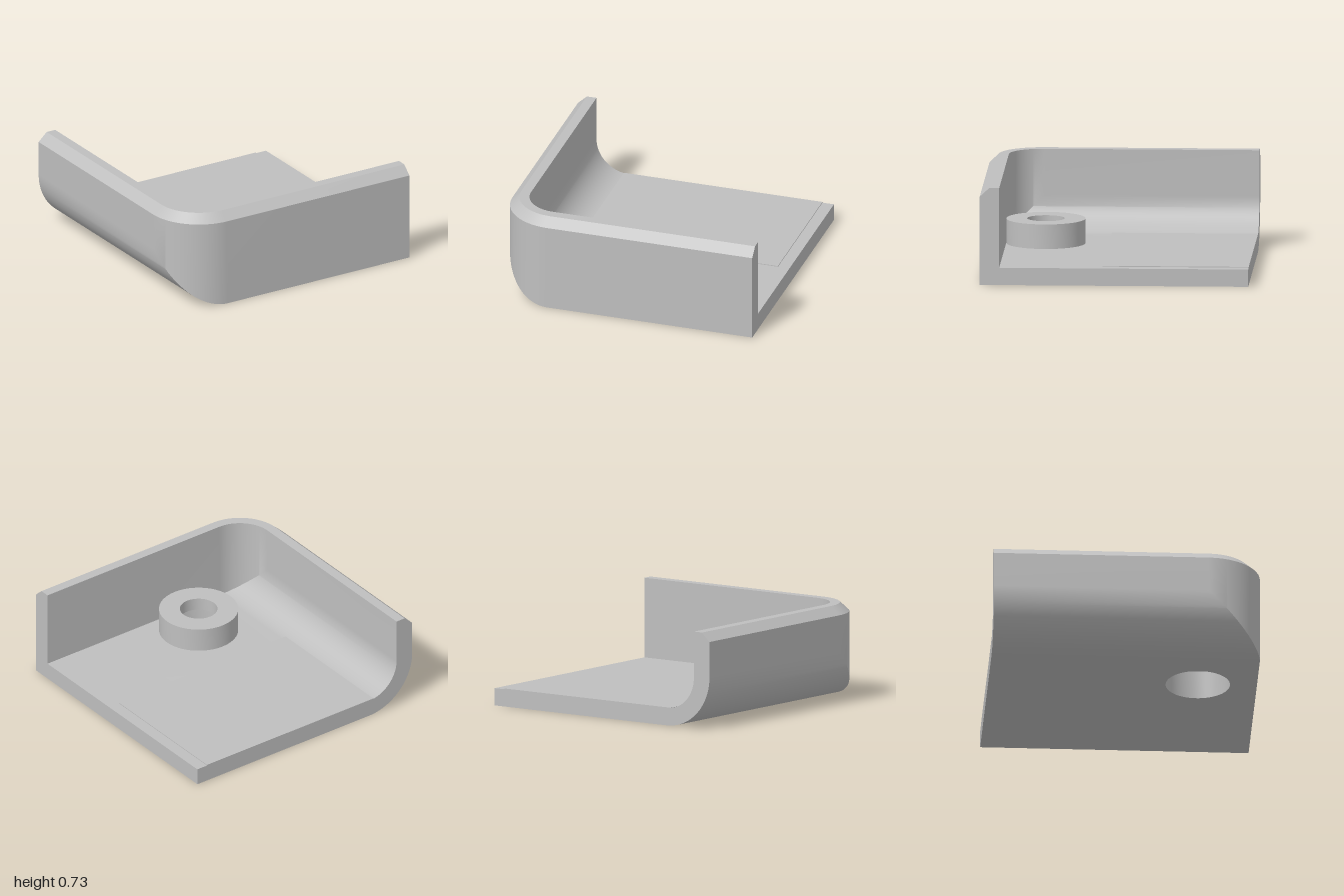
import * as THREE from 'three';
import { mergeGeometries, toCreasedNormals } from 'three/addons/utils/BufferGeometryUtils.js';

const CX = -0.6, CZ = 0.6;              // shared centre of the rounded corner
const OUT = 0.4, RIM = 0.33, INN = 0.255; // outer, chamfered and inner radii
const TOP = 0.73, SHOULDER = 0.665, FLOOR = 0.13, STEPS = 32;
const HOLE = { x: -0.185, z: 0.56 };

// points round the corner; y(d) gives the height for the offset d from the corner centre
function corner(r, y, z) {
  return Array.from({ length: STEPS + 1 }, (_, i) => {
    const a = (i / STEPS) * Math.PI / 2, d = r * Math.sin(a);
    return [CX - r * Math.cos(a), y(d), z ?? CZ + d];
  });
}

// corner with straight runs to the two cut ends
function rail(r, y) {
  return [[CX - r, y(0), -1], ...corner(r, y), [1, y(r), CZ + r]];
}

// strip of quads between two rails
function sheet(a, b) {
  const p = [];
  for (let i = 0; i < a.length - 1; i++) {
    p.push(...a[i], ...a[i + 1], ...b[i + 1], ...a[i], ...b[i + 1], ...b[i]);
  }
  const g = new THREE.BufferGeometry();
  g.setAttribute('position', new THREE.Float32BufferAttribute(p, 3));
  return g;
}

function face(shape) {
  const g = new THREE.ShapeGeometry(shape, 32).toNonIndexed();
  g.deleteAttribute('uv');
  g.deleteAttribute('normal');
  return g;
}

// flat floor face with a round hole, facing up or down
function flat(zFront, y, holeRadius, up) {
  const s = up ? -1 : 1;
  const shape = new THREE.Shape([[CX, -1], [1, -1], [1, zFront], [CX, zFront]]
    .map(([x, z]) => new THREE.Vector2(x, s * z)));
  const hole = new THREE.Path();
  hole.absarc(HOLE.x, s * HOLE.z, holeRadius, 0, Math.PI * 2);
  shape.holes.push(hole);
  return face(shape).rotateX(s * Math.PI / 2).translate(0, y, 0);
}

function shellGeometry() {
  const level = (y) => () => y;
  const under = (d) => OUT - d, inside = (d) => FLOOR + INN - d;
  const shoulder = rail(OUT, level(SHOULDER));
  const rimOut = rail(RIM, level(TOP)), rimIn = rail(INN, level(TOP));

  // cut face at the back, following the rounded wall profile
  const back = new THREE.Shape();
  back.moveTo(-1, 0);
  back.lineTo(-CX, 0);
  back.absarc(-CX, OUT, OUT, -Math.PI / 2, 0);
  back.lineTo(-CX + OUT, SHOULDER);
  back.lineTo(-CX + RIM, TOP);
  back.lineTo(-CX + INN, TOP);
  back.absarc(-CX, FLOOR + INN, INN, 0, -Math.PI / 2, true);
  back.lineTo(-1, FLOOR);

  // cut face at the side
  const zIn = CZ + INN;
  const side = new THREE.Shape([[-1, 0], [1, 0], [1, FLOOR], [-zIn, FLOOR], [-zIn, TOP],
    [-CZ - RIM, TOP], [-1, SHOULDER]].map(([u, y]) => new THREE.Vector2(u, y)));

  const g = mergeGeometries([
    sheet(rail(OUT, under), shoulder),                 // outer wall
    sheet(shoulder, rimOut),                           // chamfer
    sheet(rimOut, rimIn),                              // rim
    sheet(rimIn, rail(INN, inside)),                   // inner wall
    sheet(corner(INN, inside), corner(INN, inside, -1)), // inner fillet
    sheet(corner(OUT, under, -1), corner(OUT, under)), // outer fillet
    flat(zIn, FLOOR, 0.27, true),
    flat(1, 0, 0.24, false),
    face(back).rotateY(Math.PI).translate(0, 0, -1),
    face(side).rotateY(Math.PI / 2).translate(1, 0, 0),
  ]);
  return toCreasedNormals(g, Math.PI / 7);
}

export function createModel() {
  const group = new THREE.Group();
  group.name = 'trayCorner';
  const grey = new THREE.MeshStandardMaterial({ color: 0xbfbfbf });
  grey.name = 'grey';
  const add = (name, geometry) => {
    const mesh = new THREE.Mesh(geometry, grey);
    mesh.name = name;
    group.add(mesh);
    return mesh;
  };

  add('shell', shellGeometry());

  // boss with a through hole and a wider bore from below
  const profile = [[0.295, FLOOR], [0.295, 0.315], [0.14, 0.315], [0.14, 0.22], [0.24, 0.22], [0.24, 0]]
    .map(([r, y]) => new THREE.Vector2(r, y));
  const boss = toCreasedNormals(new THREE.LatheGeometry(profile, 64), Math.PI / 7);
  add('screwBoss', boss).position.set(HOLE.x, 0, HOLE.z);

  // slightly raised pad on the floor
  const pad = new THREE.BoxGeometry(1.55, 0.006, 1.09);
  add('floorPad', pad).position.set(0.135, FLOOR + 0.003, -0.455);

  return group;
}
